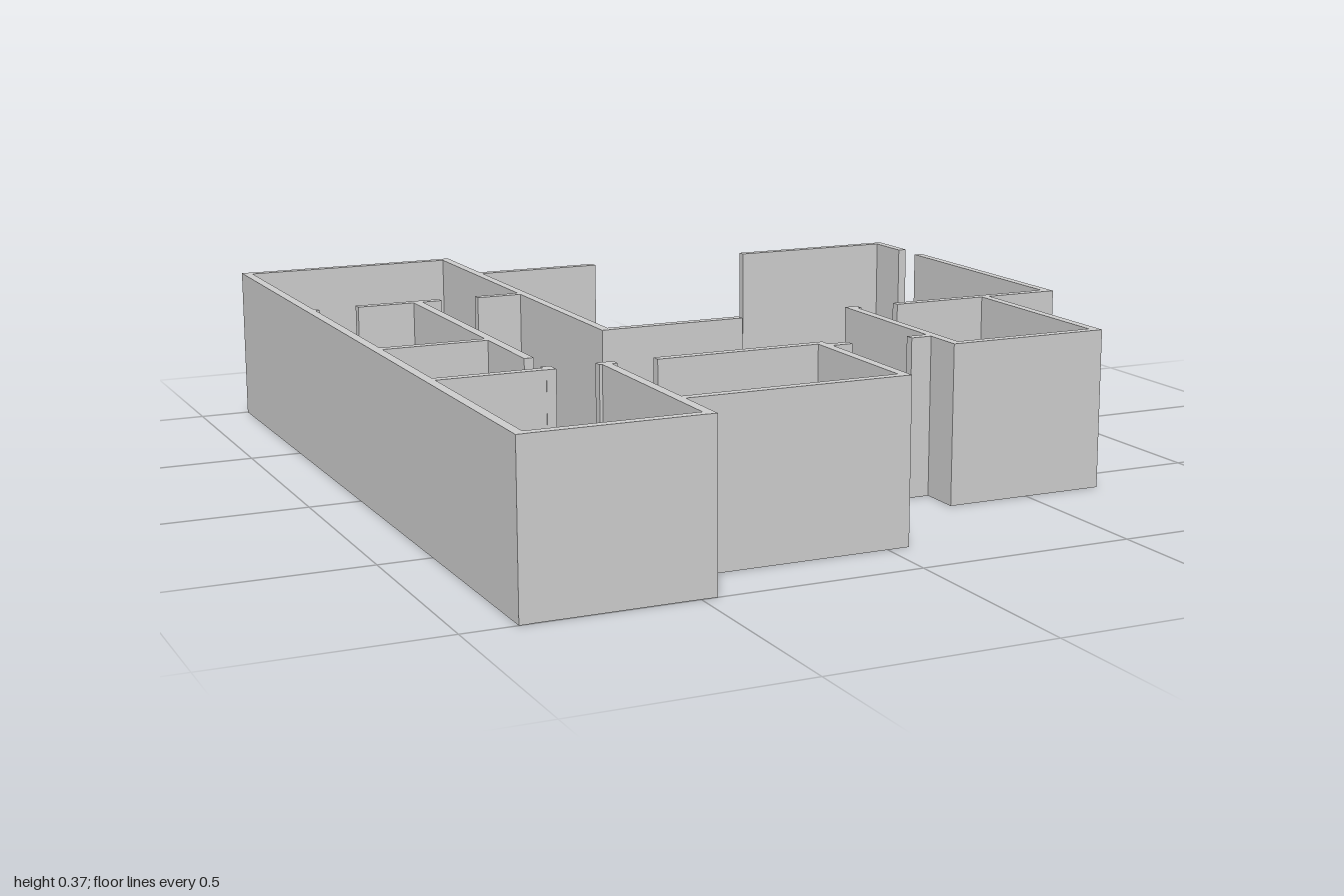
import * as THREE from 'three';

const HEIGHT = 0.37;
const T = 0.022; // wall thickness

export function createModel() {
  const group = new THREE.Group();
  const material = new THREE.MeshStandardMaterial({ color: 0xcccccc, flatShading: true });

  const wall = (name, x0, x1, z0, z1) => {
    const mesh = new THREE.Mesh(new THREE.BoxGeometry(x1 - x0, HEIGHT, z1 - z0), material);
    mesh.position.set((x0 + x1) / 2, HEIGHT / 2, (z0 + z1) / 2);
    mesh.name = name;
    group.add(mesh);
  };
  // Wall running along x, centred on depth z
  const alongX = (name, z, x0, x1) => wall(name, x0, x1, z - T / 2, z + T / 2);
  // Wall running along z, centred on x
  const alongZ = (name, x, z0, z1) => wall(name, x - T / 2, x + T / 2, z0, z1);

  // Long wing on the right-hand side of the house
  alongZ('outerSideWall', -0.869, -1, 1);
  alongX('wingBackWall', -0.988, -0.88, -0.317);
  alongZ('wingInnerWall', -0.328, -1, 0.127);
  alongX('wingFrontWall', 0.988, -0.88, -0.465);
  alongZ('frontRoomSideWall', -0.476, 0.457, 1);

  // Partitions, interrupted by doorways
  for (const [x0, x1] of [[-0.88, -0.848], [-0.753, -0.543], [-0.45, -0.317]])
    alongX('backRoomPartition', -0.405, x0, x1);
  alongZ('corridorPartition', -0.603, -0.416, 0.35);
  alongZ('corridorDoorStub', -0.603, 0.446, 0.481);
  alongX('middleRoomPartition', 0.115, -0.88, -0.592);
  for (const [x0, x1] of [[-0.88, -0.592], [-0.494, -0.452], [-0.359, 0.051]])
    alongX('frontRoomPartition', 0.469, x0, x1);

  // Front middle room
  alongX('middleRoomFrontWall', 0.842, -0.487, 0.051);
  alongZ('middleRoomSideWall', 0.04, 0.458, 0.853);

  // Entrance opening
  alongX('entranceStub', 0.496, 0.051, 0.1);
  alongX('entranceStub', 0.496, 0.251, 0.323);

  // Large living room
  alongX('livingBackWall', -0.738, -0.328, 0.0);
  alongX('livingBackWall', -0.738, 0.436, 0.877);
  alongZ('livingSideWall', 0.866, -0.749, -0.605);
  alongZ('livingSideWall', 0.866, -0.519, 0.126);
  alongX('livingFrontWall', 0.115, -0.339, 0.016);
  alongX('livingFrontWall', 0.115, 0.301, 0.333);
  alongX('livingFrontWall', 0.115, 0.432, 0.877);

  // Small front room
  alongZ('smallRoomSideWall', 0.312, 0.104, 0.607);
  alongZ('smallRoomSideWall', 0.681, 0.115, 0.607);
  alongX('smallRoomFrontWall', 0.596, 0.301, 0.692);

  return group;
}
